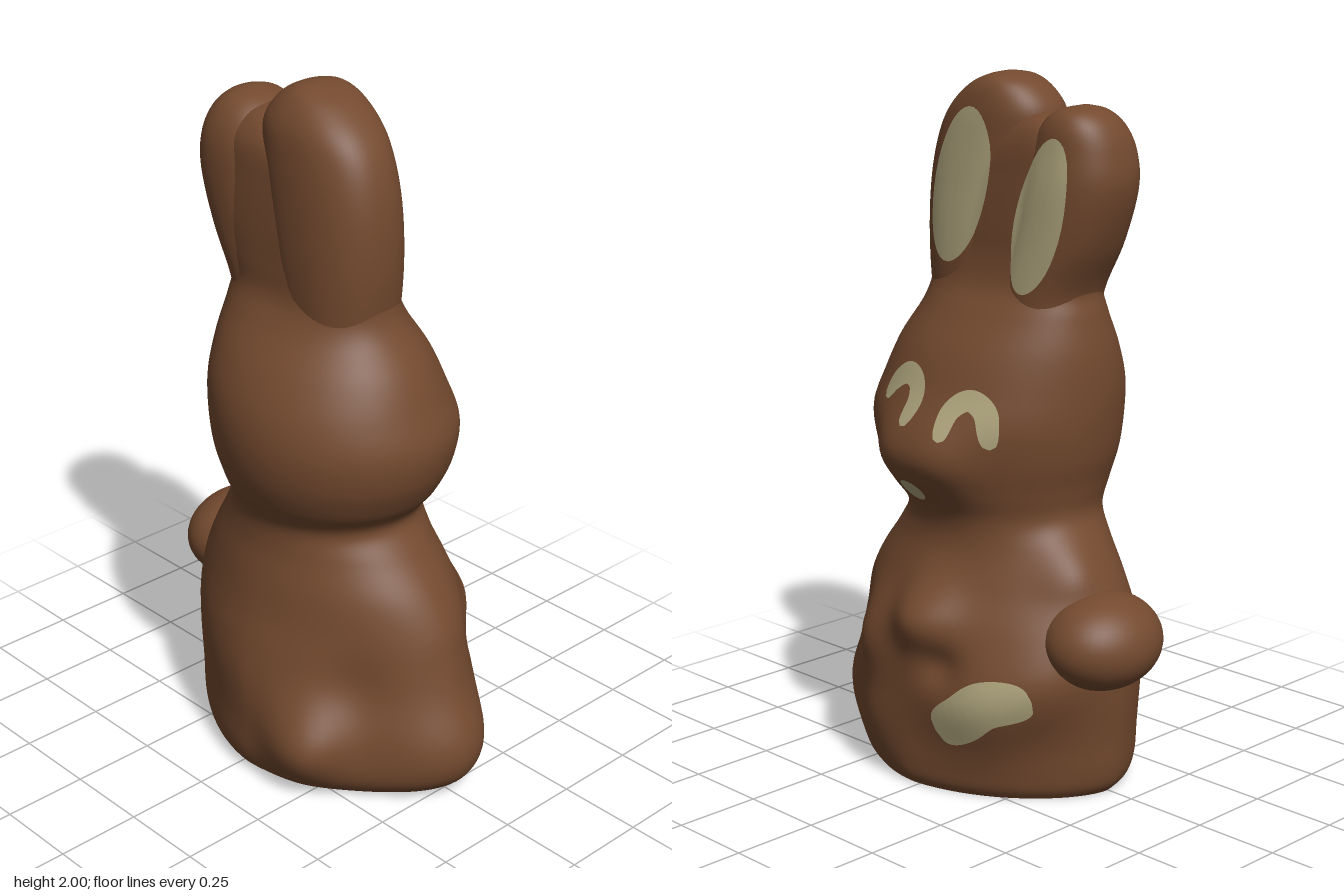
import * as THREE from 'three';

// Local swellings and hollows of the moulded surface: x, y, z, radius, outward push
const BUMPS = [
  [-0.34, 0.17, 0.25, 0.12, 0.095],  // tail
  [0.22, 0.36, -0.36, 0.13, 0.04],   // corner of the held egg
  [0.31, 0.28, -0.22, 0.16, 0.055],  // egg front
  [0.10, 0.66, -0.36, 0.09, 0.03],   // shoulder
  [0.33, 0.51, -0.02, 0.10, 0.065],  // front paw
  [0.32, 0.40, 0.18, 0.11, 0.045],   // leg
  [0.33, 0.18, 0.17, 0.12, 0.035],
  [-0.08, 0.15, 0.50, 0.14, 0.04],   // haunch
  [0.09, 0.15, 0.50, 0.14, 0.045],
  [0.20, 0.42, 0.36, 0.08, -0.025],  // hollow behind the leg
  [0.35, 0.38, -0.10, 0.06, -0.03],  // hollow between leg and egg
  [-0.22, 0.35, 0.36, 0.10, -0.025], // hollow above the tail
  [0.32, 0.95, 0.09, 0.10, 0.045],   // cheeks
  [0.32, 0.95, -0.06, 0.10, 0.045],
];

// Rows: y, min x, max x, min z, max z, roundness of the section
// The last rows form the web that joins the ears.
const BODY = [
  [0, -0.33, 0.345, -0.41, 0.47, 1.65],
  [0.03, -0.355, 0.36, -0.435, 0.505, 1.65],
  [0.08, -0.365, 0.365, -0.45, 0.53, 1.65],
  [0.17, -0.36, 0.365, -0.46, 0.53, 1.65],
  [0.3, -0.355, 0.37, -0.475, 0.515, 1.65],
  [0.4, -0.335, 0.36, -0.48, 0.50, 1.7],
  [0.5, -0.305, 0.34, -0.465, 0.475, 1.75],
  [0.6, -0.28, 0.30, -0.41, 0.42, 1.85],
  [0.7, -0.255, 0.265, -0.345, 0.34, 1.95],
  [0.78, -0.255, 0.265, -0.30, 0.29, 2],
  [0.86, -0.295, 0.30, -0.31, 0.345, 2],
  [0.95, -0.325, 0.325, -0.335, 0.39, 2],
  [1.05, -0.335, 0.335, -0.35, 0.405, 2],
  [1.15, -0.32, 0.305, -0.355, 0.375, 2],
  [1.25, -0.275, 0.265, -0.35, 0.33, 2],
  [1.35, -0.205, 0.20, -0.33, 0.26, 2.15],
  [1.42, -0.168, 0.155, -0.315, 0.237, 2.4],
  [1.5, -0.16, 0.137, -0.345, 0.24, 2.6],
  [1.6, -0.155, 0.132, -0.385, 0.235, 2.7],
  [1.72, -0.145, 0.125, -0.39, 0.20, 2.7],
  [1.82, -0.13, 0.115, -0.34, 0.02, 2.5],
  [1.88, -0.085, 0.085, -0.27, -0.10, 2.2],
  [1.9, -0.02, 0.02, -0.22, -0.17, 2],
];
const TALL_EAR = [
  [1.25, -0.15, 0.13, -0.08, 0.21, 2.3],
  [1.4, -0.16, 0.14, -0.10, 0.235, 2.3],
  [1.55, -0.165, 0.14, -0.13, 0.25, 2.3],
  [1.7, -0.16, 0.135, -0.16, 0.245, 2.3],
  [1.82, -0.15, 0.13, -0.18, 0.215, 2.3],
  [1.9, -0.135, 0.125, -0.18, 0.165, 2.3],
  [1.96, -0.10, 0.11, -0.14, 0.09, 2.2],
  [1.99, -0.06, 0.08, -0.09, 0.02, 2.1],
  [2, -0.002, 0.022, -0.045, -0.025, 2],
];
const SHORT_EAR = [
  [1.25, -0.13, 0.14, -0.30, -0.05, 2.3],
  [1.4, -0.145, 0.145, -0.31, -0.06, 2.3],
  [1.55, -0.15, 0.14, -0.385, -0.09, 2.3],
  [1.7, -0.15, 0.135, -0.435, -0.12, 2.3],
  [1.8, -0.14, 0.125, -0.43, -0.15, 2.3],
  [1.87, -0.11, 0.115, -0.405, -0.19, 2.2],
  [1.91, -0.065, 0.085, -0.365, -0.24, 2.1],
  [1.925, -0.005, 0.02, -0.32, -0.30, 2],
];

function gridGeometry(positions, index) {
  const g = new THREE.BufferGeometry();
  g.setAttribute('position', new THREE.Float32BufferAttribute(positions, 3));
  g.setIndex(index);
  g.computeVertexNormals();
  return g;
}

// Smooth closed skin through stacked sections
function loft(rows, rings, sides, bumps = []) {
  const columns = rows[0].map((_, c) => new THREE.SplineCurve(rows.map(r => new THREE.Vector2(r[0], r[c]))));
  const pos = [], index = [];
  const bend = (v, e) => Math.sign(v) * Math.abs(v) ** e;
  for (let i = 0; i <= rings; i++) {
    const [y, x0, x1, z0, z1, p] = columns.map(c => c.getPoint(i / rings).y);
    for (let j = 0; j < sides; j++) {
      const a = (j / sides) * Math.PI * 2;
      const x = (x0 + x1) / 2 + (x1 - x0) / 2 * bend(Math.cos(a), 2 / p);
      const z = (z0 + z1) / 2 + (z1 - z0) / 2 * bend(Math.sin(a), 2 / p);
      let push = 0;
      for (const [bx, by, bz, r, amount] of bumps) {
        push += amount * Math.exp(-((x - bx) ** 2 + (y - by) ** 2 + (z - bz) ** 2) / (r * r));
      }
      const k = 1 + push / Math.max(Math.hypot(x, z), 0.05);
      pos.push(x * k, y, z * k);
      if (i < rings) {
        const b = i * sides + j, n = i * sides + (j + 1) % sides;
        index.push(b, b + sides, n, n, b + sides, n + sides);
      }
    }
  }
  // smooth tip, and a base with its own vertices for a crisp rim
  const last = rows[rows.length - 1], tip = pos.length / 3, base = tip + 1;
  pos.push((last[1] + last[2]) / 2, last[0], (last[3] + last[4]) / 2);
  pos.push(...pos.slice(0, sides * 3), 0, rows[0][0], (rows[0][3] + rows[0][4]) / 2);
  for (let j = 0; j < sides; j++) {
    const n = (j + 1) % sides;
    index.push(rings * sides + j, tip, rings * sides + n);
    index.push(base + sides, base + j, base + n);
  }
  return gridGeometry(pos, index);
}

export function createModel() {
  const group = new THREE.Group();
  const brown = new THREE.MeshStandardMaterial({ color: 0x744a2f });
  brown.name = 'milkBrown';
  const cream = new THREE.MeshStandardMaterial({ color: 0xb2a77f, side: THREE.DoubleSide });
  cream.name = 'cream';

  const add = (name, geometry, material) => {
    const mesh = new THREE.Mesh(geometry, material);
    mesh.name = name;
    group.add(mesh);
    return mesh;
  };

  const solids = [
    add('bodyAndHead', loft(BODY, 140, 112, BUMPS), brown),
    add('tallEar', loft(TALL_EAR, 40, 56), brown),
    add('shortEar', loft(SHORT_EAR, 40, 56), brown),
  ];

  // Rear paw resting on the egg
  const paw = new THREE.SphereGeometry(1, 40, 28);
  paw.scale(0.185, 0.135, 0.155).rotateX(-0.15).translate(0.045, 0.465, -0.425);
  add('rearPaw', paw, brown);

  // Painted patch: a (z, y) grid laid on the surface from the +x side
  const ray = new THREE.Raycaster();
  function paint(name, nu, nv, at) {
    const pos = [], index = [];
    let x = 0.3;
    for (let i = 0; i <= nu; i++) {
      for (let j = 0; j <= nv; j++) {
        const [z, y] = at(i / nu, j / nv);
        ray.set(new THREE.Vector3(2, y, z), new THREE.Vector3(-1, 0, 0));
        const hit = ray.intersectObjects(solids)[0];
        if (hit) x = hit.point.x + 0.006;
        pos.push(x, y, z);
        if (i < nu && j < nv) {
          const b = i * (nv + 1) + j, n = b + nv + 1;
          index.push(b, n, b + 1, b + 1, n, n + 1);
        }
      }
    }
    add(name, gridGeometry(pos, index), cream);
  }

  // Oval patch; lean tips the top towards -z
  function oval(name, z, y, rz, ry, lean) {
    paint(name, 36, 8, (u, v) => {
      const a = u * Math.PI * 2, p = rz * v * Math.cos(a), q = ry * v * Math.sin(a);
      return [z + p * Math.cos(lean) - q * Math.sin(lean), y + p * Math.sin(lean) + q * Math.cos(lean)];
    });
  }

  // Brush stroke with rounded ends along a path
  function stroke(name, points, halfWidth) {
    const curve = new THREE.SplineCurve(points.map(p => new THREE.Vector2(...p)));
    paint(name, 32, 6, (u, v) => {
      const c = curve.getPoint(u), t = curve.getTangent(u);
      const w = halfWidth * (1 - Math.abs(2 * u - 1) ** 4) ** 0.5 * (2 * v - 1);
      return [c.x - t.y * w, c.y + t.x * w];
    });
  }

  oval('tallEarInner', 0.045, 1.69, 0.105, 0.222, 0.24);
  oval('shortEarInner', -0.257, 1.63, 0.083, 0.22, 0.26);
  stroke('leftEye', [[0.165, 1.10], [0.135, 1.15], [0.085, 1.18], [0.04, 1.165], [0.026, 1.115], [0.05, 1.045]], 0.03);
  stroke('rightEye', [[-0.09, 1.02], [-0.1, 1.1], [-0.148, 1.136], [-0.195, 1.1], [-0.208, 1.005]], 0.029);
  oval('mouth', 0.04, 0.857, 0.042, 0.03, 0.2);
  stroke('eggHighlight', [[-0.095, 0.195], [-0.18, 0.245], [-0.26, 0.305], [-0.375, 0.325]], 0.067);

  return group;
}
